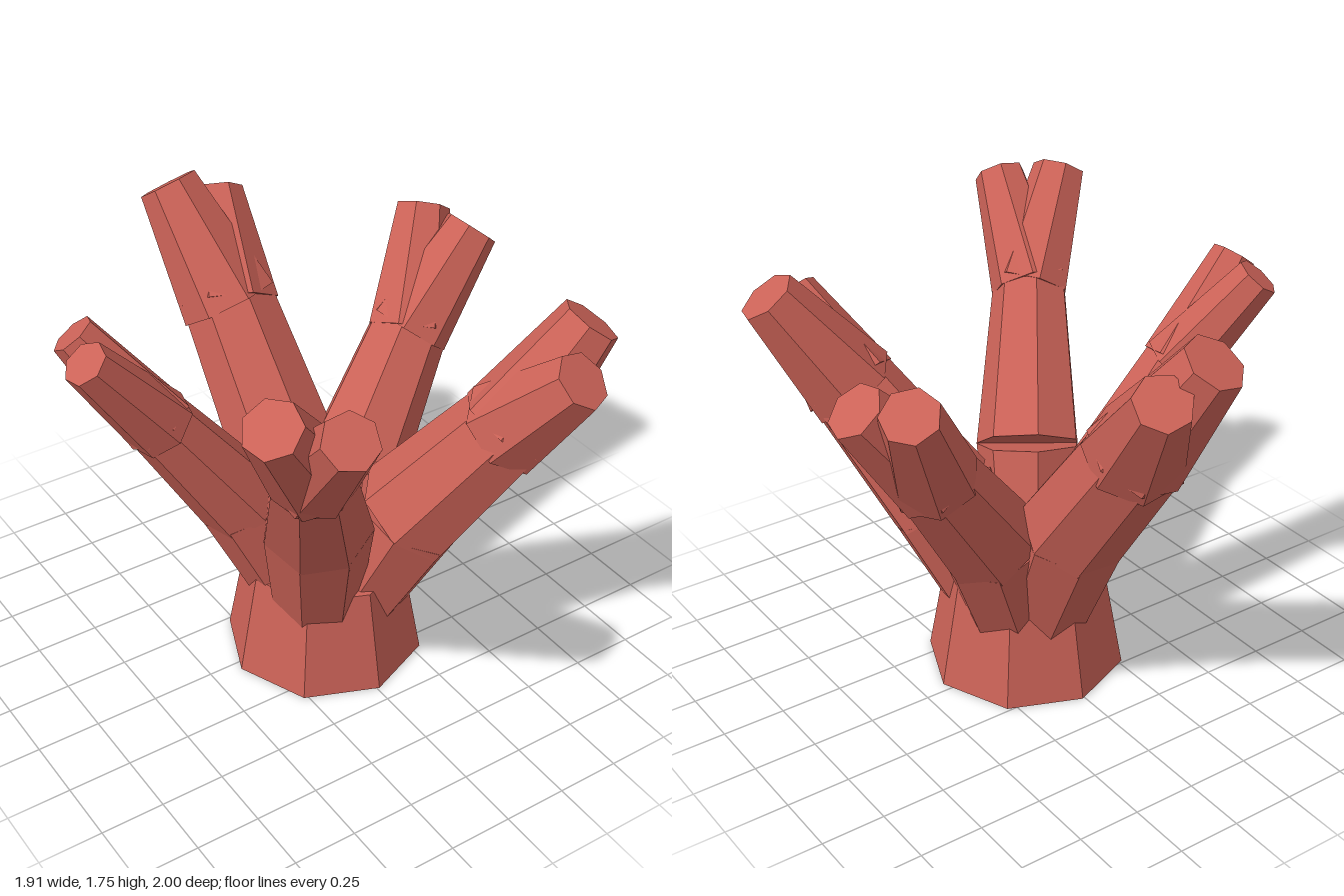
import * as THREE from 'three';

const coral = new THREE.MeshStandardMaterial({ color: 0xcb6257, flatShading: true });
coral.name = 'coral red';

const UP = new THREE.Vector3(0, 1, 0);

// Closed tapered limb running between two points
function limb(name, from, to, r0, r1, sides = 7) {
  const a = new THREE.Vector3(...from), b = new THREE.Vector3(...to);
  const geo = new THREE.CylinderGeometry(r1, r0, a.distanceTo(b), sides);
  const mesh = new THREE.Mesh(geo, coral);
  mesh.name = name;
  mesh.position.copy(a).add(b).multiplyScalar(0.5);
  mesh.quaternion.setFromUnitVectors(UP, b.sub(a).normalize());
  return mesh;
}

// Each branch: root, joint, fork, radii at those points, and two tips [x, y, z, radius]
const branches = [
  { name: 'frontLeftBranch', root: [0.07, 0.2, 0.13], joint: [0.235, 0.68, 0.285], fork: [0.47, 1.13, 0.54],
    r: [0.175, 0.225, 0.19], tips: [[0.565, 1.44, 0.81, 0.112], [0.745, 1.535, 0.635, 0.117]] },
  { name: 'frontRightBranch', root: [-0.08, 0.24, 0.12], joint: [-0.18, 0.79, 0.28], fork: [-0.41, 1.3, 0.6],
    r: [0.17, 0.21, 0.16], tips: [[-0.485, 1.66, 0.925, 0.102], [-0.67, 1.685, 0.765, 0.107]] },
  { name: 'backBranch', root: [0.02, 0.22, -0.06], joint: [0.03, 0.76, -0.3], fork: [0.01, 1.22, -0.63],
    r: [0.18, 0.21, 0.195], tips: [[-0.085, 1.65, -0.905, 0.118], [0.125, 1.565, -0.905, 0.108]] },
  { name: 'leftBranch', root: [0.09, 0.22, -0.02], joint: [0.28, 0.7, -0.12], fork: [0.58, 1.12, -0.22],
    r: [0.175, 0.2, 0.168], tips: [[0.88, 1.475, -0.23, 0.11], [0.785, 1.51, -0.425, 0.108]] },
  { name: 'rightBranch', root: [-0.09, 0.25, 0.01], joint: [-0.29, 0.73, -0.06], fork: [-0.6, 1.18, -0.1],
    r: [0.15, 0.17, 0.135], tips: [[-0.885, 1.55, -0.08, 0.087], [-0.83, 1.545, -0.28, 0.087]] },
];

export function createModel() {
  const model = new THREE.Group();
  model.name = 'coral';

  // Octagonal trunk
  model.add(limb('trunk', [0.01, 0, 0.04], [0.01, 0.42, 0.04], 0.392, 0.315, 8));

  for (const b of branches) {
    const group = new THREE.Group();
    group.name = b.name;
    group.add(limb('lowerStem', b.root, b.joint, b.r[0], b.r[1]));
    group.add(limb('upperStem', b.joint, b.fork, b.r[1], b.r[2] * 0.94));
    // Pair of blunt tips spreading from the fork
    for (const [x, y, z, r] of b.tips) {
      group.add(limb('tip', b.fork, [x, y, z], b.r[2], r));
    }
    model.add(group);
  }
  return model;
}
